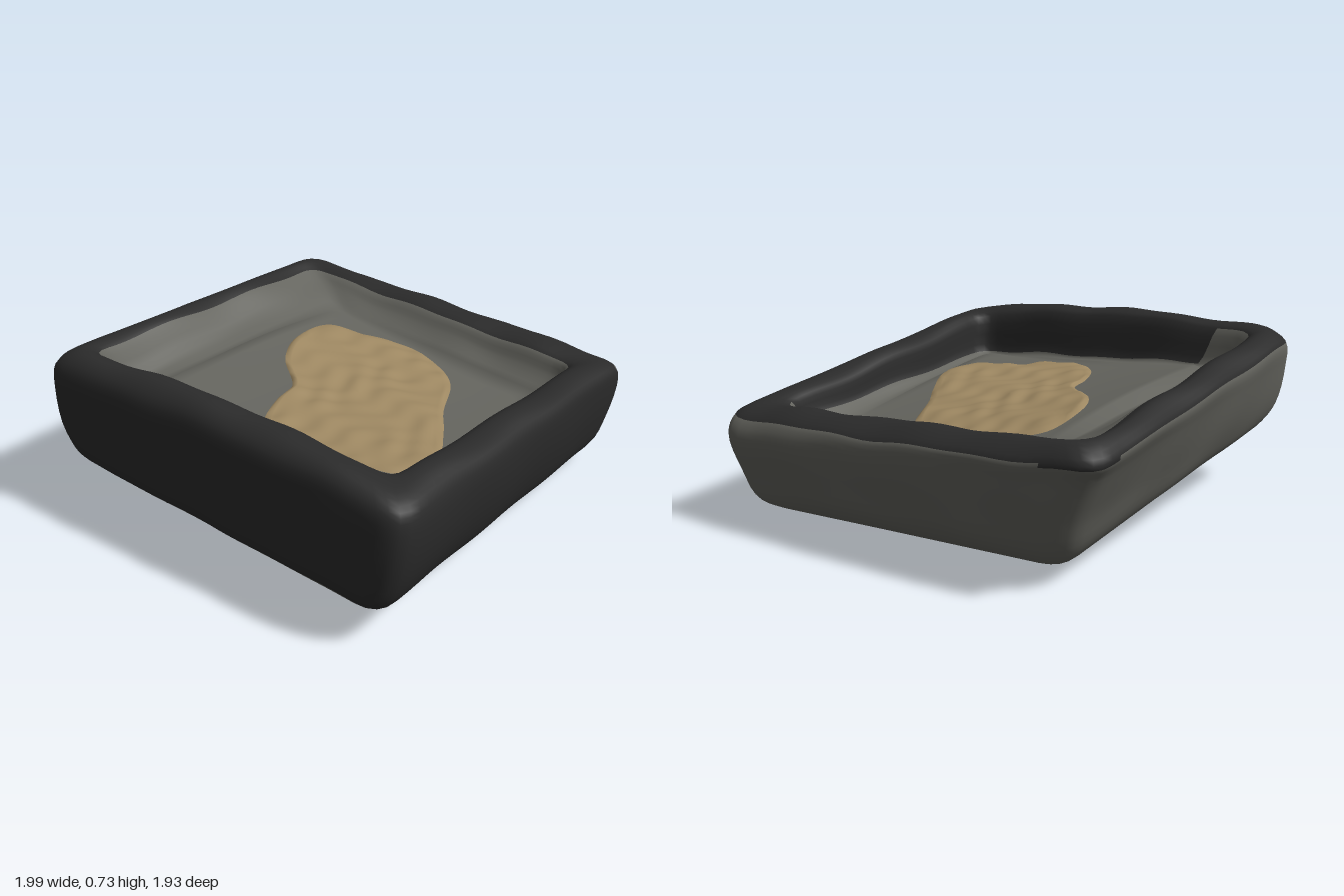
import * as THREE from 'three';

const V = (x, y, z) => new THREE.Vector3(x, y, z);
const dark = new THREE.MeshStandardMaterial({ color: 0x2b2b2b });
const grey = new THREE.MeshStandardMaterial({ color: 0x64645e });
const sand = new THREE.MeshStandardMaterial({ color: 0x9e8862 });
dark.name = 'dark frame';
grey.name = 'grey lining';
sand.name = 'sand';

// Tilted, slightly saddle-shaped and wavy floor of the basin
const floorY = (x, z) =>
  0.452 - 0.1 * x - 0.11 * z + 0.08 * (z * z - x * x)
  + 0.005 * Math.sin(5 * x + 2 * z) * Math.cos(4 * z - x);

// Corner positions (back -x, back +x, front +x, front -x), from the underside over the rim to the floor
const LEVELS = [
  [[0.36, 0, 0], [0.36, 0, 0], [0.36, 0, 0], [0.36, 0, 0]],
  [[-0.8, 0.2, -0.53], [0.53, 0.05, -0.67], [0.79, 0.035, 0.57], [-0.67, 0.12, 0.75]],
  [[-0.97, 0.28, -0.63], [0.61, 0.13, -0.77], [0.9, 0.09, 0.67], [-0.77, 0.18, 0.88]],
  [[-1.0, 0.37, -0.68], [0.66, 0.29, -0.84], [0.96, 0.22, 0.7], [-0.78, 0.32, 0.95]],
  [[-1.0, 0.55, -0.72], [0.69, 0.45, -0.93], [1.01, 0.38, 0.71], [-0.77, 0.53, 0.98]],
  [[-0.98, 0.66, -0.73], [0.71, 0.53, -0.98], [0.97, 0.45, 0.71], [-0.75, 0.61, 0.96]],
  [[-0.91, 0.71, -0.67], [0.66, 0.59, -0.91], [0.89, 0.485, 0.66], [-0.69, 0.65, 0.88]],
  [[-0.84, 0.69, -0.62], [0.6, 0.57, -0.84], [0.78, 0.47, 0.59], [-0.61, 0.62, 0.79]],
  [[-0.79, 0.55, -0.55], [0.56, 0.52, -0.72], [0.74, 0.4, 0.57], [-0.59, 0.45, 0.77]],
  [[-0.71, 0.53, -0.43], [0.49, 0.45, -0.56], [0.64, 0.33, 0.49], [-0.565, 0.43, 0.71]],
];
const SUB = 4;            // rings per level
const SIDE = 32;          // points per side
const N = SIDE * 4;
const FLOOR_RINGS = 12;

// Point on a four-cornered ring with rounded corners
function ringPoint(corners, side, t, r = 0.06) {
  const at = (s, f) => corners[s % 4].clone().lerp(corners[(s + 1) % 4], f);
  if (t >= r && t <= 1 - r) return at(side, t);
  const first = t < r;
  const k = first ? side : side + 1;
  const s = first ? 0.5 + t / (2 * r) : (t - 1 + r) / (2 * r);
  return new THREE.QuadraticBezierCurve3(at(k + 3, 1 - r), corners[k % 4], at(k, r)).getPoint(s);
}

// Quads between neighbouring rings, keeping those the test accepts
function bandIndex(rings, n, keep, flip) {
  const index = [];
  for (let l = 0; l < rings - 1; l++) {
    for (let j = 0; j < n; j++) {
      if (!keep(l, j)) continue;
      const k = (j + 1) % n;
      const a = l * n + j, b = l * n + k, c = (l + 1) * n + k, d = (l + 1) * n + j;
      if (flip) index.push(a, b, c, a, c, d);
      else index.push(a, d, c, a, c, b);
    }
  }
  return index;
}

function buildTray() {
  const curves = [0, 1, 2, 3].map(
    (c) => new THREE.CatmullRomCurve3(LEVELS.map((l) => V(...l[c])), false, 'centripetal'));
  const last = (LEVELS.length - 1) * SUB;
  const pos = [];
  let edge = [];
  for (let l = 0; l <= last; l++) {
    const corners = curves.map((c) => c.getPoint(l / last));
    const level = l / SUB;
    edge = [];
    for (let j = 0; j < N; j++) {
      const side = Math.floor(j / SIDE), t = (j % SIDE) / SIDE;
      const p = ringPoint(corners, side, t);
      // Uneven hand-formed surface, a hump along the -x rim and a bulge in the +x wall
      if (level > 1.5 && level < 9) {
        const w = Math.min(1, level - 1.5, 9 - level);
        const hump = Math.sin(Math.PI * t);
        p.y += w * 0.004 * Math.sin(13 * p.x + 9 * p.z) + w * 0.003 * Math.sin(21 * p.z - 8 * p.x);
        const push = 1 + w * 0.003 * Math.sin(11 * p.x - 14 * p.z + 6 * p.y);
        p.x *= push;
        p.z *= push;
        if (side === 3 && level > 4) p.y += Math.min(w, Math.max(0, 8 - level)) * 0.04 * hump;
        if (side === 1 && level < 6) p.x += Math.min(w, 6 - level) * 0.03 * hump;
      }
      p.y = Math.max(0, p.y);
      if (l === last) p.y = floorY(p.x, p.z);
      edge.push(p);
      pos.push(p.x, p.y, p.z);
    }
  }
  // Floor rings closing in on the middle
  for (let f = 1; f <= FLOOR_RINGS; f++) {
    for (const p of edge) {
      const s = 1 - f / FLOOR_RINGS;
      const x = p.x * s, z = p.z * s + 0.04 * (1 - s);
      pos.push(x, floorY(x, z), z);
    }
  }
  const rings = last + 1 + FLOOR_RINGS;
  const whole = new THREE.BufferGeometry();
  whole.setAttribute('position', new THREE.Float32BufferAttribute(pos, 3));
  whole.setIndex(bandIndex(rings, N, () => true));
  whole.computeVertexNormals();

  // Front and -x walls are dark inside and out; the other two only along the rim
  const part = (l, j) => {
    const darkSide = j >= SIDE * 2 + 1;
    const backCorner = Math.abs(j - SIDE) < 4;
    if (l < 2 * SUB) return 'underside';
    if (l < 5 * SUB - (backCorner ? 1 : 0)) return darkSide ? 'darkWalls' : 'greyWalls';
    if (l < 7 * SUB) return 'rim';
    if (l < 8 * SUB && darkSide && j < N - 4) return 'innerDarkWalls';
    return 'basin';
  };
  const colours = { underside: grey, darkWalls: dark, greyWalls: grey, rim: dark, innerDarkWalls: dark, basin: grey };
  const tray = new THREE.Group();
  tray.name = 'tray';
  for (const [name, material] of Object.entries(colours)) {
    const g = new THREE.BufferGeometry();
    g.setAttribute('position', whole.getAttribute('position'));
    g.setAttribute('normal', whole.getAttribute('normal'));
    g.setIndex(bandIndex(rings, N, (l, j) => part(l, j) === name));
    const mesh = new THREE.Mesh(g, material);
    mesh.name = name;
    tray.add(mesh);
  }
  return tray;
}

// Lumpy sand patch lying on the floor
function buildSand() {
  const outline = [
    [-0.6, 0.15], [-0.5, 0.01], [-0.33, -0.09], [-0.21, -0.13], [-0.08, -0.31], [0.09, -0.42],
    [0.34, -0.45], [0.43, -0.3], [0.5, -0.21], [0.54, -0.1], [0.49, 0.1], [0.4, 0.22],
    [0.16, 0.38], [0.03, 0.49], [-0.2, 0.64], [-0.36, 0.61], [-0.45, 0.42], [-0.57, 0.31],
  ];
  const curve = new THREE.CatmullRomCurve3(outline.map(([x, z]) => V(x, 0, z)), true);
  const n = 144, rings = 25, pos = [];
  for (let l = 0; l < rings; l++) {
    const s = l / (rings - 1);
    for (let j = 0; j < n; j++) {
      const p = curve.getPoint(j / n);
      const x = -0.03 + (p.x + 0.03) * s, z = 0.08 + (p.z - 0.08) * s;
      const bump = 0.003 * Math.sin(31 * x + 22 * z + 2 * Math.sin(13 * z))
        + 0.003 * Math.sin(47 * z - 17 * x + 2 * Math.sin(19 * x));
      pos.push(x, floorY(x, z) + (l === rings - 1 ? 0.002 : 0.012 + bump), z);
    }
  }
  const g = new THREE.BufferGeometry();
  g.setAttribute('position', new THREE.Float32BufferAttribute(pos, 3));
  g.setIndex(bandIndex(rings, n, () => true, true));
  g.computeVertexNormals();
  const mesh = new THREE.Mesh(g, sand);
  mesh.name = 'sandPatch';
  return mesh;
}

export function createModel() {
  const model = new THREE.Group();
  model.name = 'sandTray';
  model.add(buildTray(), buildSand());
  return model;
}
